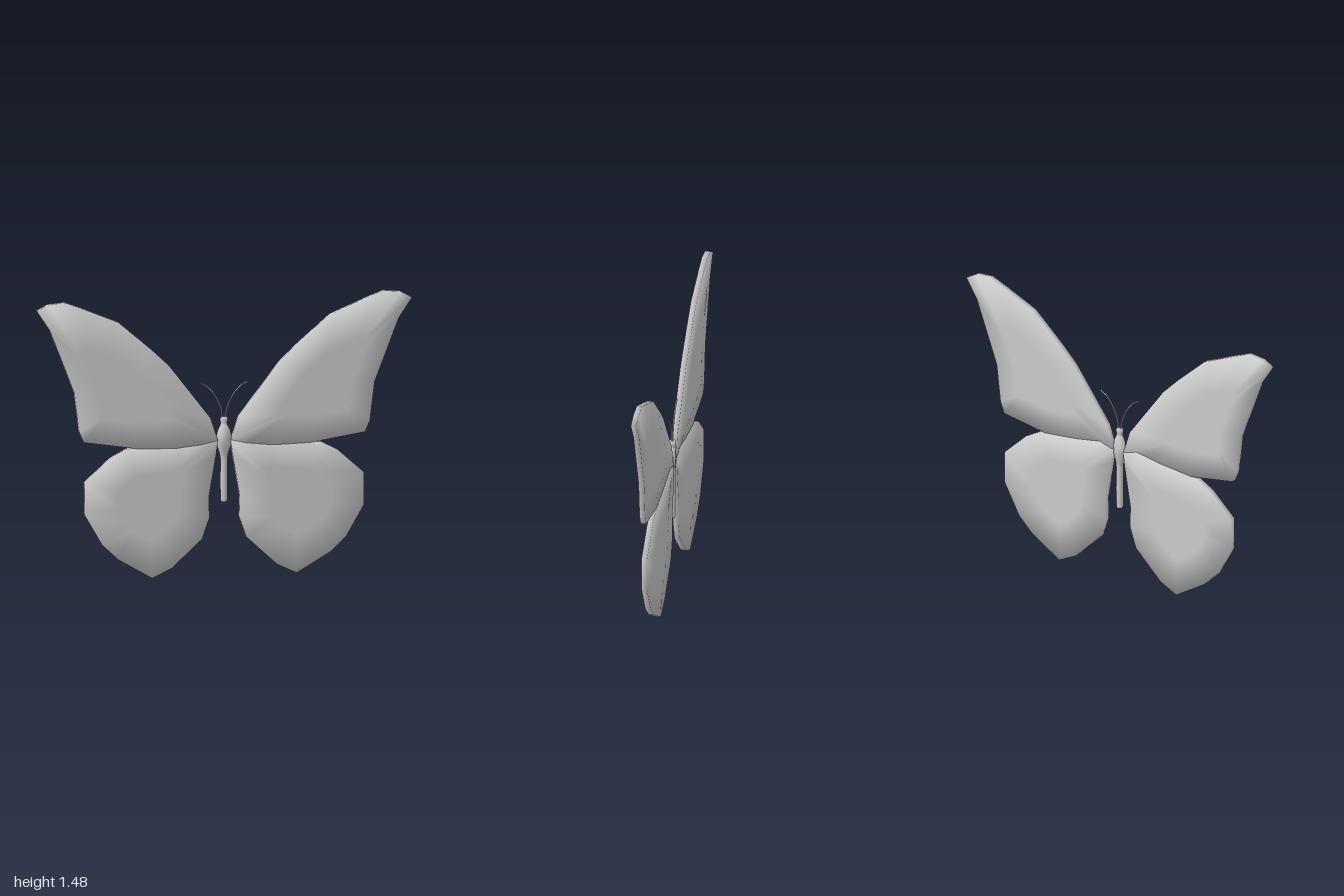
import * as THREE from 'three';

const material = new THREE.MeshStandardMaterial({ color: 0xcccccc });

// Outlines of the left wings, clockwise from the root.
const FORE = [
  [0.035, 0.72], [0.075, 0.84], [0.295, 1.125], [0.39, 1.215], [0.565, 1.365],
  [0.77, 1.45], [0.85, 1.48], [0.94, 1.472], [1, 1.44], [0.93, 1.335], [0.8, 1],
  [0.775, 0.795], [0.75, 0.735], [0.46, 0.69], [0.26, 0.685], [0.12, 0.7],
];
const HIND = [
  [0.035, 0.715], [0.12, 0.74], [0.27, 0.715], [0.52, 0.69], [0.605, 0.645],
  [0.745, 0.52], [0.745, 0.35], [0.65, 0.185], [0.565, 0.105], [0.385, 0],
  [0.28, 0.05], [0.118, 0.2], [0.08, 0.31], [0.083, 0.42], [0.064, 0.53], [0.045, 0.64],
];

// Thin plate whose normals roll over softly from the flat middle to the rim.
function wing(name, outline, side, centre, zBack, zFront) {
  const pts = outline.map(([x, y]) => new THREE.Vector2(x * side, y));
  if (side > 0) pts.reverse(); // counter-clockwise seen from the front
  const n = pts.length;
  const mid = new THREE.Vector2(centre[0] * side, centre[1]);
  const positions = [], normals = [], index = [];
  // Rings: front middle, front inner, front rim, back rim, back inner, back middle
  const rings = [[0, 1], [0.5, 1], [1, 1], [1, -1], [0.5, -1], [0, -1]];
  for (const [spread, face] of rings) {
    for (let i = 0; i < n; i++) {
      const p = mid.clone().lerp(pts[i], spread);
      const along = pts[(i + 1) % n].clone().sub(pts[(i + n - 1) % n]).normalize();
      const tilt = spread === 1 ? 1 : 0;
      const normal = new THREE.Vector3(along.y * tilt, -along.x * tilt, face).normalize();
      positions.push(p.x, p.y, face > 0 ? zFront : zBack);
      normals.push(normal.x, normal.y, normal.z);
    }
  }
  for (let r = 0; r < rings.length - 1; r++) {
    for (let i = 0; i < n; i++) {
      const j = (i + 1) % n;
      const a = r * n + i, b = r * n + j, c = a + n, d = b + n;
      if (r > 0) index.push(a, c, b);
      if (r < rings.length - 2) index.push(b, c, d);
      else index.pop(), index.pop(), index.pop(), index.push(a, c, b);
    }
  }
  const geometry = new THREE.BufferGeometry();
  geometry.setAttribute('position', new THREE.Float32BufferAttribute(positions, 3));
  geometry.setAttribute('normal', new THREE.Float32BufferAttribute(normals, 3));
  geometry.setIndex(index);
  const mesh = new THREE.Mesh(geometry, material);
  mesh.name = name;
  return mesh;
}

// Head, thorax and abdomen in one turned profile, flattened front to back.
function body() {
  const profile = [
    [0, 0.388], [0.014, 0.39], [0.019, 0.4], [0.02, 0.5], [0.019, 0.62], [0.024, 0.65],
    [0.038, 0.69], [0.042, 0.73], [0.034, 0.77], [0.019, 0.8], [0.017, 0.81],
    [0.021, 0.825], [0.018, 0.84], [0, 0.842],
  ].map(([r, y]) => new THREE.Vector2(r, y));
  const geometry = new THREE.LatheGeometry(profile, 12);
  const pos = geometry.attributes.position;
  for (let i = 0; i < pos.count; i++) {
    const r = Math.hypot(pos.getX(i), pos.getZ(i));
    if (r > 0.017) pos.setZ(i, pos.getZ(i) * 0.017 / r);
  }
  const mesh = new THREE.Mesh(geometry, material);
  mesh.name = 'body';
  return mesh;
}

function antenna(name, side) {
  const path = [[0.008, 0.83], [0.014, 0.88], [0.045, 0.952], [0.088, 1.003], [0.125, 1.023]];
  const curve = new THREE.CatmullRomCurve3(path.map(([x, y]) => new THREE.Vector3(x * side, y, 0)));
  const mesh = new THREE.Mesh(new THREE.TubeGeometry(curve, 12, 0.004, 6), material);
  mesh.name = name;
  return mesh;
}

export function createModel() {
  const model = new THREE.Group();
  model.name = 'butterfly';
  model.add(body());
  for (const [label, side] of [['left', 1], ['right', -1]]) {
    model.add(
      wing(label + 'Forewing', FORE, side, [0.55, 0.98], -0.013, 0.017),
      wing(label + 'Hindwing', HIND, side, [0.4, 0.4], -0.017, 0.013),
      antenna(label + 'Antenna', side),
    );
  }
  return model;
}
